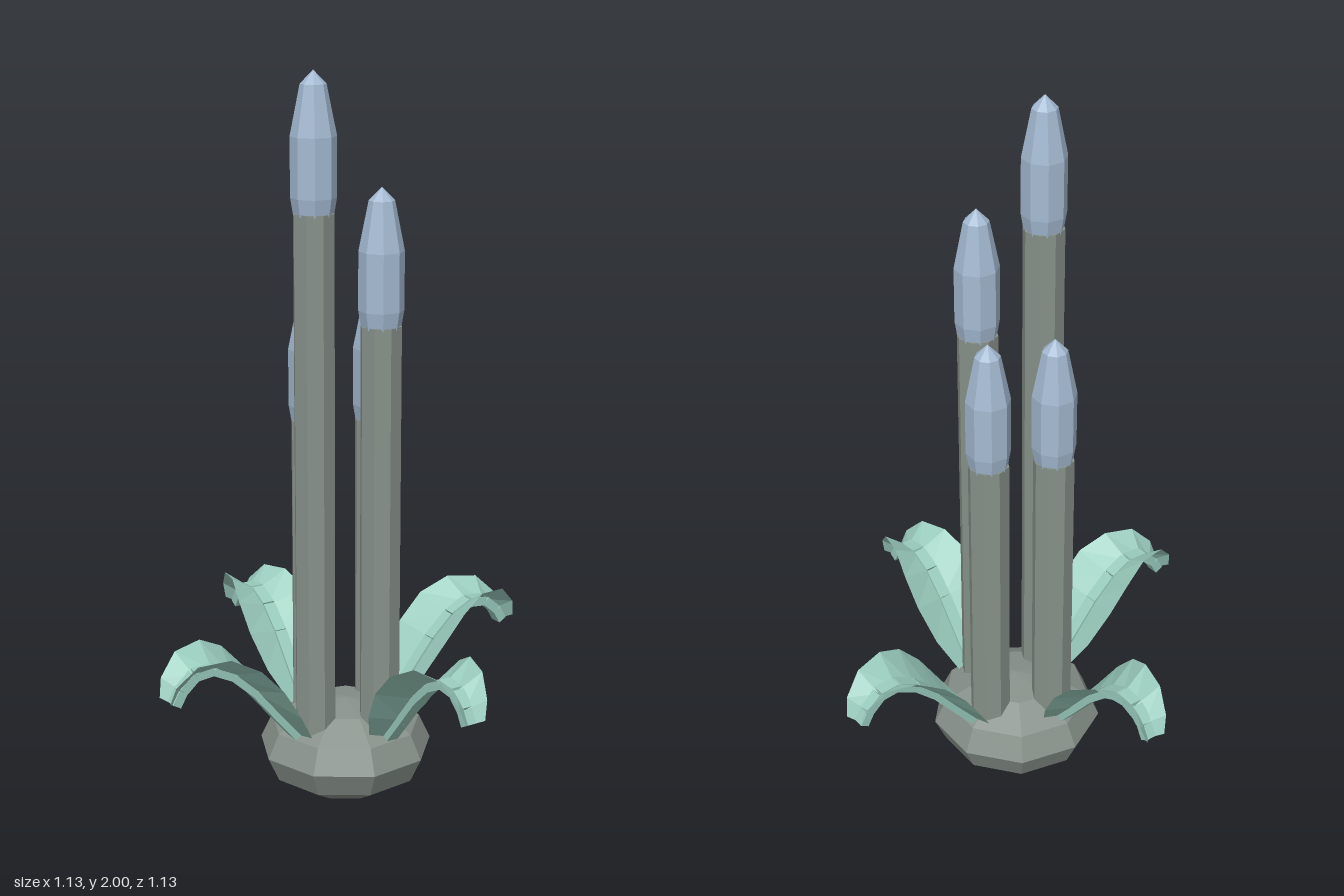
import * as THREE from 'three';

const stone = new THREE.MeshStandardMaterial({ color: 0x87918a, flatShading: true });
stone.name = 'greyGreenStalk';
const blue = new THREE.MeshStandardMaterial({ color: 0xa4bad2, flatShading: true });
blue.name = 'paleBlueBud';
const green = new THREE.MeshStandardMaterial({ color: 0x9accbd, flatShading: true, side: THREE.DoubleSide });
green.name = 'mintLeaf';

function addMesh(parent, name, geometry, material) {
  const mesh = new THREE.Mesh(geometry, material);
  mesh.name = name;
  parent.add(mesh);
  return mesh;
}

// Leaf sections: distance outward, height, half width, lift of the edges
const SECTIONS = [
  [-0.01, 0.19, 0.045, 0.015],
  [0.07, 0.285, 0.093, 0.03],
  [0.14, 0.37, 0.113, 0.042],
  [0.205, 0.43, 0.11, 0.05],
  [0.265, 0.46, 0.088, 0.053],
  [0.318, 0.455, 0.066, 0.053],
  [0.358, 0.42, 0.044, 0.045],
  [0.378, 0.385, 0.03, 0.03],
];

// Folded blade: two wings rising from the midline
function bladeGeometry() {
  const rows = SECTIONS.map(([u, y, w, lift], i) => {
    const a = SECTIONS[Math.max(i - 1, 0)];
    const b = SECTIONS[Math.min(i + 1, SECTIONS.length - 1)];
    const angle = Math.atan2(b[1] - a[1], b[0] - a[0]);
    const ex = u - Math.sin(angle) * lift;
    const ey = y + Math.cos(angle) * lift;
    return [[ex, ey, -w], [u, y, 0], [ex, ey, w]];
  });
  const positions = [];
  for (let i = 0; i < rows.length - 1; i++) {
    for (let j = 0; j < 2; j++) {
      const a = rows[i][j], b = rows[i][j + 1], c = rows[i + 1][j + 1], d = rows[i + 1][j];
      positions.push(...a, ...b, ...c, ...a, ...c, ...d);
    }
  }
  const geometry = new THREE.BufferGeometry();
  geometry.setAttribute('position', new THREE.Float32BufferAttribute(positions, 3));
  geometry.computeVertexNormals();
  return geometry;
}

function makeLeaf() {
  const leaf = new THREE.Group();
  leaf.name = 'leaf';
  addMesh(leaf, 'leafBlade', bladeGeometry(), green);
  // Midrib: one short block per segment
  for (let i = 0; i < SECTIONS.length - 1; i++) {
    const [u0, y0] = SECTIONS[i];
    const [u1, y1] = SECTIONS[i + 1];
    const length = Math.hypot(u1 - u0, y1 - y0);
    const rib = addMesh(leaf, 'leafRib', new THREE.BoxGeometry(length, 0.026, 0.036), green);
    rib.position.set((u0 + u1) / 2, (y0 + y1) / 2, 0);
    rib.rotation.z = Math.atan2(y1 - y0, u1 - u0);
  }
  leaf.position.set(0.17, 0, 0.02);
  leaf.rotation.y = -0.3;
  return leaf;
}

// Eight-sided stalk with a pointed bud
function makeStalk(x, z, top) {
  const stalk = new THREE.Group();
  stalk.name = 'stalk';
  const bottom = 0.12;
  const height = top - 0.36 - bottom;
  const stem = addMesh(stalk, 'stem', new THREE.CylinderGeometry(0.056, 0.056, height, 8), stone);
  stem.position.y = bottom + height / 2;
  stem.rotation.y = Math.PI / 8;
  const profile = [[0, -0.41], [0.045, -0.41], [0.06, -0.32], [0.06, -0.165], [0.034, -0.035], [0, 0]];
  const bud = addMesh(stalk, 'bud',
    new THREE.LatheGeometry(profile.map(([r, y]) => new THREE.Vector2(r, y)), 8), blue);
  bud.position.y = top;
  stalk.position.set(x, 0, z);
  return stalk;
}

export function createModel() {
  const model = new THREE.Group();
  model.name = 'plant';

  // Flattened bulb
  const bulb = addMesh(model, 'bulb', new THREE.SphereGeometry(0.24, 9, 6), stone);
  bulb.scale.y = 0.137 / 0.24;
  bulb.position.y = 0.137;
  bulb.rotation.y = Math.PI;

  // Stalks
  for (const [x, z, top] of [[-0.123, 0, 2], [0, 0.123, 1.705], [0.123, 0, 1.41], [0, -0.123, 1.41]]) {
    model.add(makeStalk(x, z, top));
  }

  // Four leaves around the bulb
  for (let i = 0; i < 4; i++) {
    const arm = new THREE.Group();
    arm.name = 'leafArm';
    arm.rotation.y = i * Math.PI / 2;
    arm.add(makeLeaf());
    model.add(arm);
  }
  return model;
}
